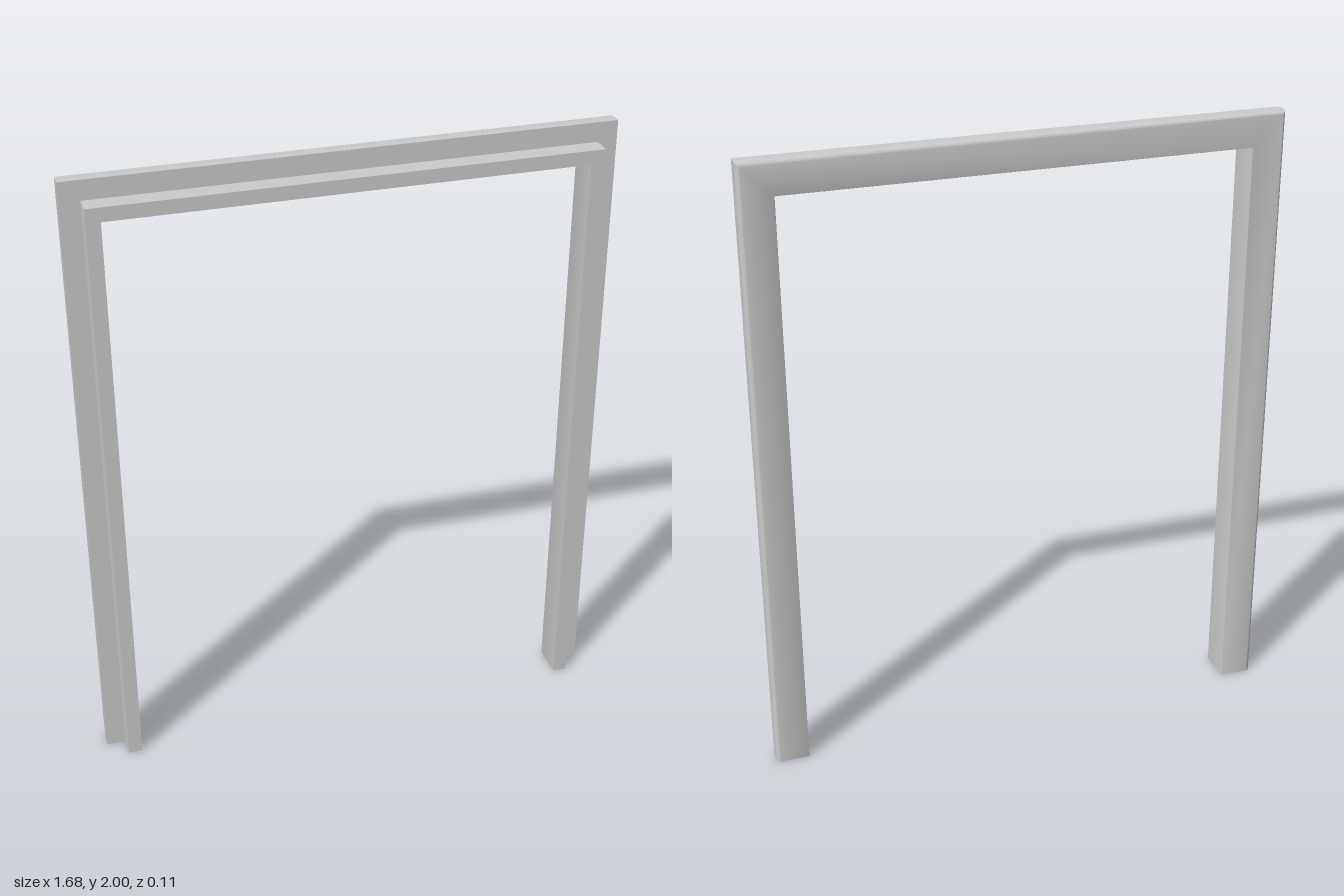
import * as THREE from 'three';
import { toCreasedNormals } from 'three/addons/utils/BufferGeometryUtils.js';

const HALF = 0.84, TOP = 2;                      // outer half width and height
const BACK = -0.057, STEP = -0.005, FRONT = 0.057;
const STOP = 0.062, INNER = 0.106;               // insets from the outer edge

// Quarter round as points [inset, z]
function arc(cx, cz, r, start, steps) {
  return Array.from({ length: steps + 1 }, (_, i) => {
    const a = start - (i / steps) * Math.PI / 2;
    return [cx + r * Math.cos(a), cz + r * Math.sin(a)];
  });
}

// L-shaped section: wide back flange, narrow front lip
function section() {
  const r = 0.013, s = 0.003;
  return [
    ...arc(r, BACK + r, r, Math.PI * 1.5, 5),
    [0, STEP], [STOP, STEP], [STOP, FRONT], [INNER, FRONT],
    ...arc(INNER - s, BACK + s, s, 0, 2),
  ];
}

// Sweep the section up one leg, across the head and down the other, mitred at the corners
function sweep(profile) {
  const stations = [
    ([d, z]) => [d - HALF, 0, z],
    ([d, z]) => [d - HALF, TOP - d, z],
    ([d, z]) => [HALF - d, TOP - d, z],
    ([d, z]) => [HALF - d, 0, z],
  ];
  const pos = [];
  const tri = (a, b, c) => pos.push(...a, ...b, ...c);
  for (let i = 0; i < 3; i++) {
    const [s, t] = [stations[i], stations[i + 1]];
    profile.forEach((p, j) => {
      const q = profile[(j + 1) % profile.length];
      tri(s(p), s(q), t(q));
      tri(s(p), t(q), t(p));
    });
  }
  // Feet of both legs
  const pts = profile.map(([d, z]) => new THREE.Vector2(d, z)).reverse();
  for (const f of THREE.ShapeUtils.triangulateShape(pts, [])) {
    let corners = f.map((k) => pts[k]);
    if (THREE.ShapeUtils.area(corners) < 0) corners.reverse();
    const [a, b, c] = corners.map((v) => [v.x, v.y]);
    tri(stations[0](a), stations[0](b), stations[0](c));
    tri(stations[3](a), stations[3](c), stations[3](b));
  }
  const geometry = new THREE.BufferGeometry();
  geometry.setAttribute('position', new THREE.Float32BufferAttribute(pos, 3));
  return toCreasedNormals(geometry, 0.6);
}

export function createModel() {
  const group = new THREE.Group();
  group.name = 'doorFrame';
  const frame = new THREE.Mesh(
    sweep(section()),
    new THREE.MeshStandardMaterial({ color: 0xcccccc }),
  );
  frame.name = 'frameMoulding';
  group.add(frame);
  return group;
}
